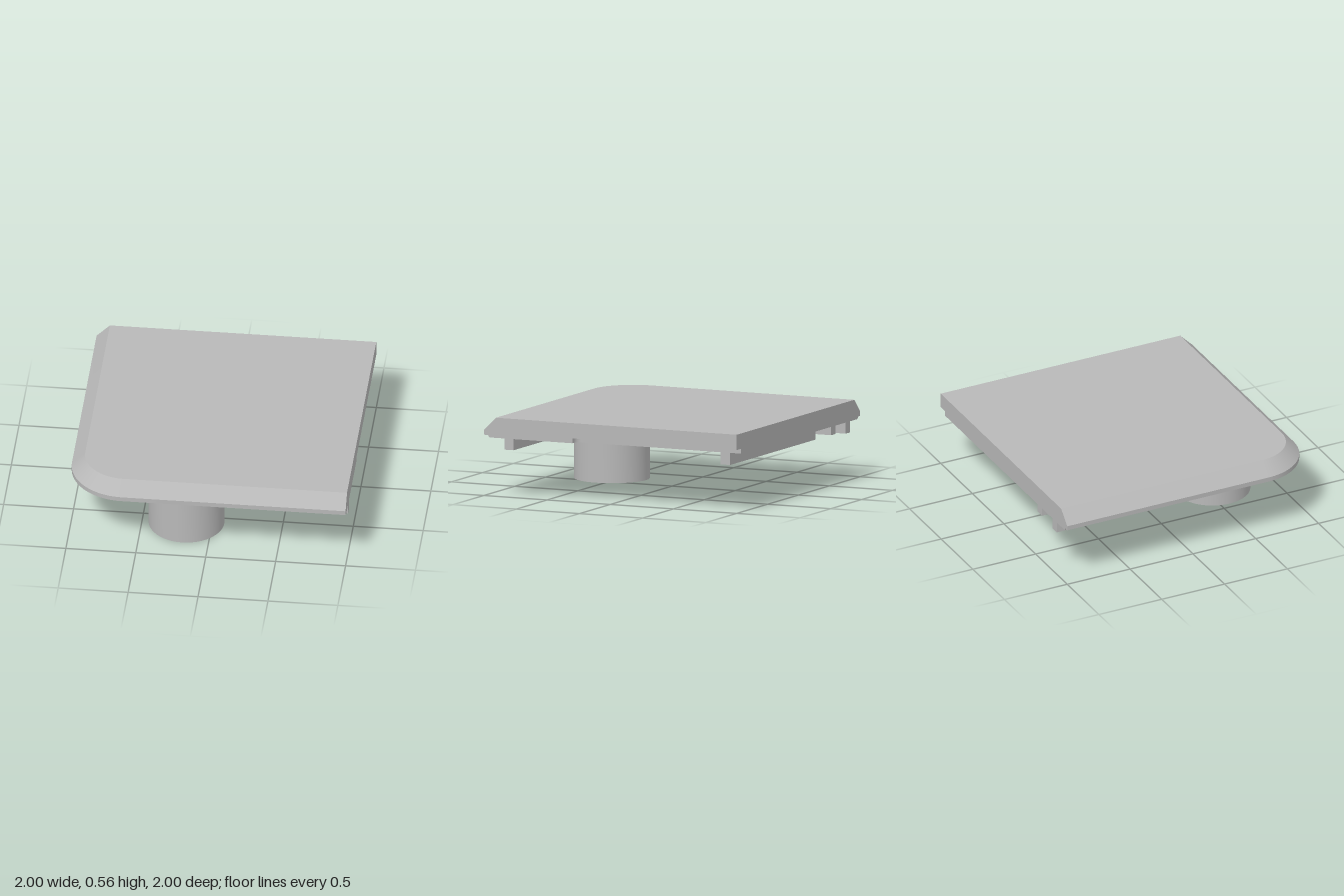
import * as THREE from 'three';
import { toCreasedNormals } from 'three/addons/utils/BufferGeometryUtils.js';

const CREASE = 0.5;

// Plate outline inset by d on its left and front sides, as [x, z] points.
// Only the front left corner is rounded; a notch can be cut in the +x edge.
function outline(d, notched = false) {
  const pts = [];
  const r = 0.4 - d, steps = 24;
  for (let i = 0; i <= steps; i++) {
    const a = (i / steps) * Math.PI / 2;
    pts.push([-0.6 - r * Math.cos(a), 0.6 + r * Math.sin(a)]);
  }
  pts.push([1, 1 - d]);
  if (notched) {
    pts.push([1, 0.3]);
    for (let i = 0; i <= 6; i++) {
      const a = (i / 6) * Math.PI / 2;
      pts.push([0.975 - 0.045 * Math.sin(a), 0.255 + 0.045 * Math.cos(a)]);
    }
    pts.push([0.93, -1]);
  } else {
    pts.push([1, -1]);
  }
  pts.push([-1 + d, -1]);
  return pts;
}

// Closed solid through [inset, y] levels, listed from top to bottom
function loft(levels, notched) {
  const rings = levels.map(([d, y]) => outline(d, notched).map(([x, z]) => [x, y, z]));
  const pos = [];
  const tri = (a, b, c) => pos.push(...a, ...b, ...c);
  for (let k = 0; k < rings.length - 1; k++) {
    const up = rings[k], low = rings[k + 1];
    for (let i = 0; i < up.length; i++) {
      const j = (i + 1) % up.length;
      tri(low[i], low[j], up[j]);
      tri(low[i], up[j], up[i]);
    }
  }
  const cap = (ring, top) => {
    const flat = ring.map(p => new THREE.Vector2(p[0], -p[2]));
    for (const [a, b, c] of THREE.ShapeUtils.triangulateShape(flat, [])) {
      if (top) tri(ring[a], ring[b], ring[c]);
      else tri(ring[a], ring[c], ring[b]);
    }
  };
  cap(rings[0], true);
  cap(rings[rings.length - 1], false);
  const g = new THREE.BufferGeometry();
  g.setAttribute('position', new THREE.Float32BufferAttribute(pos, 3));
  return toCreasedNormals(g, CREASE);
}

export function createModel() {
  const model = new THREE.Group();
  model.name = 'cornerPlate';
  const grey = new THREE.MeshStandardMaterial({ color: 0xb8b8b8 });
  grey.name = 'grey';

  const add = (name, geometry) => {
    const mesh = new THREE.Mesh(geometry, grey);
    mesh.name = name;
    model.add(mesh);
    return mesh;
  };

  // Box given by its x, y and z ranges
  const bar = (name, x0, x1, y0, y1, z0, z1) => {
    add(name, new THREE.BoxGeometry(x1 - x0, y1 - y0, z1 - z0))
      .position.set((x0 + x1) / 2, (y0 + y1) / 2, (z0 + z1) / 2);
  };

  // Plate with bevelled left and front edges, and its undercut lower layer
  add('plateTop', loft([[0.095, 0.565], [0, 0.47], [0, 0.455]], false));
  add('plateUnderside', loft([[0, 0.455], [0, 0.437], [0.03, 0.437], [0.045, 0.42]], true));

  // Rim following the rounded corner below the plate
  const rimPoints = [
    [-0.835, -1],
    ...outline(0.165).slice(0, 26),
    ...outline(0.235).slice(0, 26).reverse(),
    [-0.765, -1],
  ];
  const rim = new THREE.ExtrudeGeometry(
    new THREE.Shape(rimPoints.map(([x, z]) => new THREE.Vector2(x, -z))),
    { depth: 0.085, bevelEnabled: false },
  );
  rim.rotateX(-Math.PI / 2);
  rim.translate(0, 0.34, 0);
  add('rim', toCreasedNormals(rim, CREASE));

  // Stiffening ribs
  bar('backRib', -0.53, 0.85, 0.32, 0.425, -0.875, -0.8);
  bar('middleRib', -0.78, 0.23, 0.36, 0.425, -0.05, 0.025);
  bar('sideRib', -0.6, -0.53, 0.36, 0.425, -1, 0.72);

  // Hollow round leg
  const profile = [[0.175, 0.42], [0.175, 0], [0.27, 0], [0.27, 0.425]]
    .map(([r, y]) => new THREE.Vector2(r, y));
  add('tubeLeg', toCreasedNormals(new THREE.LatheGeometry(profile, 64), CREASE))
    .position.set(-0.185, 0, 0.565);

  return model;
}
